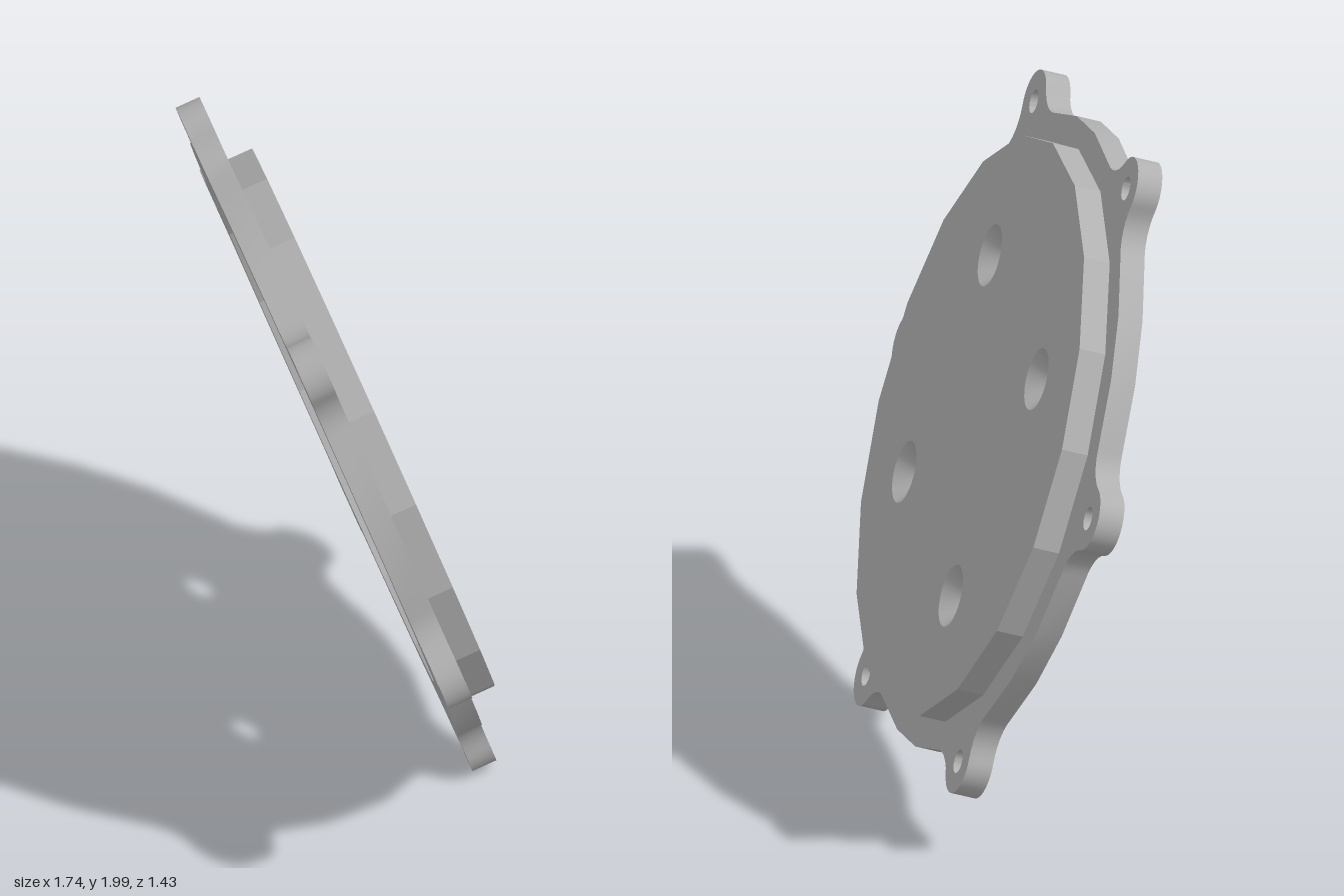
import * as THREE from 'three';
import { toCreasedNormals } from 'three/addons/utils/BufferGeometryUtils.js';

const FLANGE = 0.075, BOSS = 0.08, STEP = 0.034; // thicknesses along the cover axis
const RIM = 0.94, LUG_POS = 1.008, LUG_R = 0.094, FILLET = 0.13;
const BOLT_R = 0.035, HOLE_POS = 0.52, HOLE_R = 0.046, SINK_R = 0.092;
const rad = THREE.MathUtils.degToRad;

// Points along an arc from angle a to b
function arc(cx, cy, r, a, b, n) {
  return Array.from({ length: n + 1 }, (_, i) => {
    const t = a + (b - a) * i / n;
    return new THREE.Vector2(cx + r * Math.cos(t), cy + r * Math.sin(t));
  });
}

const polygon = (cx, cy, r, n, phase = 0) => arc(cx, cy, r, phase, phase + Math.PI * 2, n).slice(0, n);

// Slab with holes, from z to z + depth
function slab(outline, holes, z, depth) {
  const shape = new THREE.Shape(outline);
  shape.holes = holes.map((h) => new THREE.Path(h));
  const geo = new THREE.ExtrudeGeometry(shape, { depth, bevelEnabled: false });
  geo.translate(0, 0, z);
  return toCreasedNormals(geo, 0.3);
}

// Round rim with six filleted lugs
function flangeOutline() {
  const A = RIM + FILLET;
  const phi = Math.acos((A * A + LUG_POS ** 2 - (LUG_R + FILLET) ** 2) / (2 * A * LUG_POS));
  const fx = A * Math.cos(phi), fy = A * Math.sin(phi);
  const beta = Math.atan2(fy, fx - LUG_POS);
  const sector = [
    ...arc(fx, -fy, FILLET, Math.PI - phi, Math.PI - beta, 6),
    ...arc(LUG_POS, 0, LUG_R, -beta, beta, 14).slice(1),
    ...arc(fx, fy, FILLET, Math.PI + beta, Math.PI + phi, 6).slice(1),
    ...arc(0, 0, RIM, phi, Math.PI / 3 - phi, 3).slice(1, -1),
  ];
  const points = [];
  for (let k = 0; k < 6; k++) {
    for (const p of sector) points.push(p.clone().rotateAround(new THREE.Vector2(), k * Math.PI / 3));
  }
  return points;
}

export function createModel() {
  const root = new THREE.Group();
  root.name = 'coverPlate';
  const metal = new THREE.MeshStandardMaterial({ color: 0xb0b0b0 });
  metal.name = 'grey metal';
  const cover = new THREE.Group();
  cover.name = 'tiltedCover';
  root.add(cover);
  const add = (name, geo) => {
    const mesh = new THREE.Mesh(geo, metal);
    mesh.name = name;
    cover.add(mesh);
    return mesh;
  };

  // Flange with bolt holes around a 16-sided recess
  const bolts = polygon(0, 0, LUG_POS, 6).map((p) => polygon(p.x, p.y, BOLT_R, 24));
  const recess = polygon(0, 0, 0.779, 16, rad(15));
  add('flange', slab(flangeOutline(), [recess, ...bolts], -FLANGE, FLANGE));

  // Raised 18-sided boss in two layers, with four countersunk holes
  const boss = polygon(0, 0, 0.86, 18, rad(10));
  const centres = polygon(0, 0, HOLE_POS, 4, rad(60));
  add('recessFloor', slab(boss, centres.map((p) => polygon(p.x, p.y, HOLE_R, 32)), 0, STEP));
  add('boss', slab(boss, centres.map((p) => polygon(p.x, p.y, SINK_R, 32)), STEP, BOSS - STEP));

  // Cone walls facing into the holes
  const cone = new THREE.LatheGeometry([new THREE.Vector2(SINK_R, BOSS), new THREE.Vector2(HOLE_R, STEP)], 32);
  cone.rotateX(Math.PI / 2);
  for (const p of centres) add('countersink', cone).position.set(p.x, p.y, 0);

  // Lean the cover to its resting pose
  const x = new THREE.Vector3(-0.458, 0.889, 0).normalize();
  const y = new THREE.Vector3(0.633, 0.326, -0.703).cross(x).normalize();
  const z = x.clone().cross(y);
  cover.quaternion.setFromRotationMatrix(new THREE.Matrix4().makeBasis(x, y, z));
  cover.position.set(0.0225, 1.0125, -0.025);
  return root;
}
